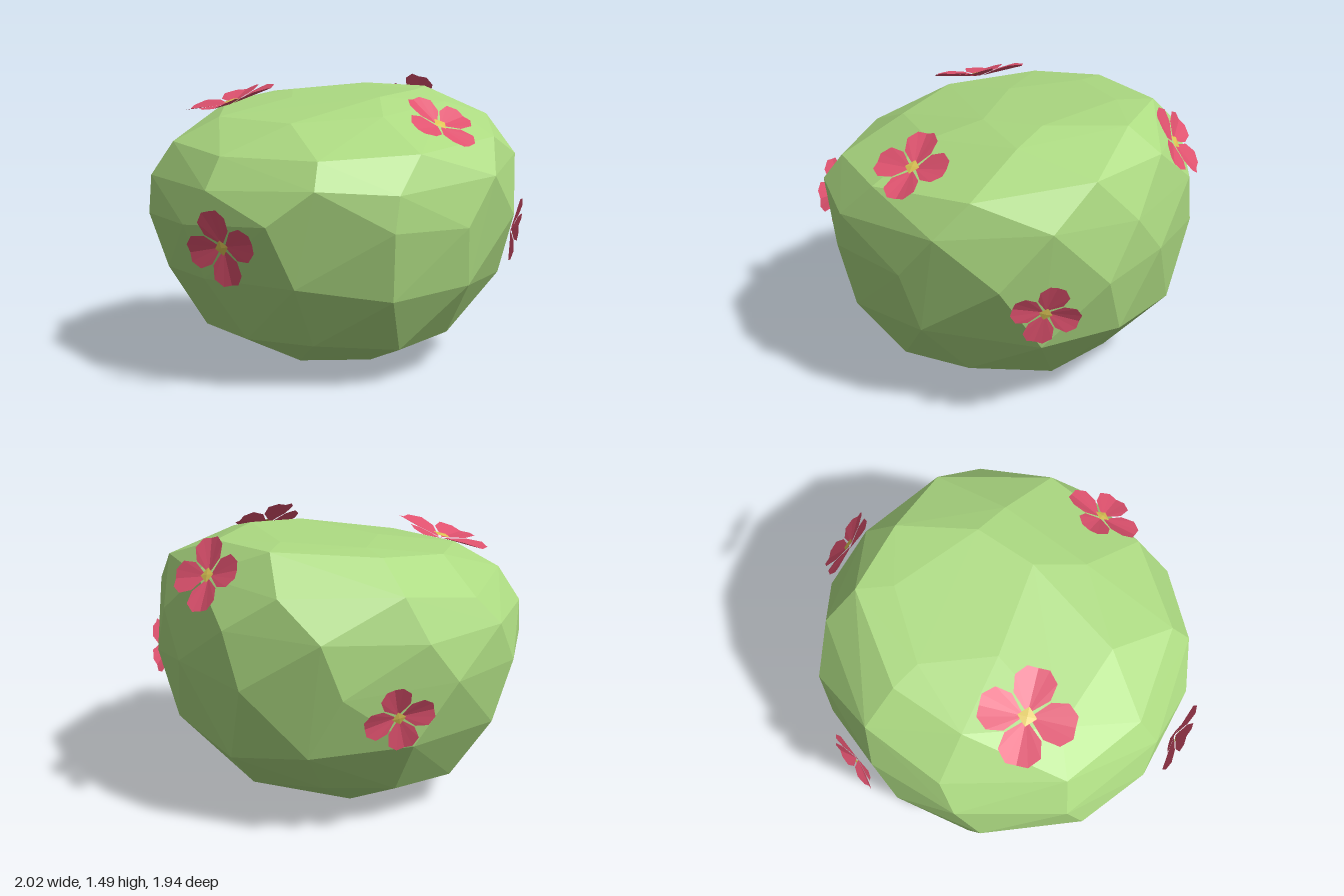
import * as THREE from 'three';
import { ConvexGeometry } from 'three/addons/geometries/ConvexGeometry.js';

const leafGreen = new THREE.MeshStandardMaterial({ color: 0xaddb82 });
const petalPink = new THREE.MeshStandardMaterial({ color: 0xe0526f, side: THREE.DoubleSide });
const pollenYellow = new THREE.MeshStandardMaterial({ color: 0xdcc455, side: THREE.DoubleSide });
leafGreen.name = 'leafGreen';
petalPink.name = 'petalPink';
pollenYellow.name = 'pollenYellow';

function seeded(seed) {
  return () => {
    seed = (seed * 16807) % 2147483647;
    return seed / 2147483647;
  };
}

// Faceted bush: hull over staggered, slightly uneven rounded-square rings
function createBush() {
  const random = seeded(11);
  // y, centre x, centre z, radius x, radius z, tilt along x, tilt along z, sides
  const rings = [
    [0.02, 0.0, 0.0, 0.27, 0.3, -0.05, 0.03, 5],
    [0.2, -0.02, 0.03, 0.62, 0.67, -0.05, 0, 10],
    [0.48, 0.02, 0.02, 0.87, 0.87, -0.05, 0, 11],
    [0.82, 0.015, 0.02, 0.95, 0.94, 0, 0, 12],
    [1.05, 0.03, 0.02, 0.93, 0.94, 0.04, 0, 11],
    [1.22, 0.05, 0.015, 0.84, 0.86, 0.07, 0, 10],
    [1.365, 0.09, -0.05, 0.65, 0.58, 0.1, -0.04, 8],
    [1.41, 0.22, -0.07, 0.32, 0.4, 0.08, 0, 5],
  ];
  const points = [];
  rings.forEach(([y, cx, cz, rx, rz, tiltX, tiltZ, sides], ring) => {
    for (let i = 0; i < sides; i++) {
      const a = ((i + 0.5 * (ring % 2) + 0.3 * (random() - 0.5)) / sides) * Math.PI * 2 + 0.2;
      const r = 1.005 + 0.03 * Math.sin(2 * a) ** 2 + 0.02 * (random() - 0.5);
      const x = cx + rx * r * Math.cos(a);
      const z = cz + rz * r * Math.sin(a);
      const lift = ring === 0 || ring > 5 ? 0 : 0.07 * (random() - 0.5);
      points.push(new THREE.Vector3(x, Math.max(0, y + tiltX * x + tiltZ * z + lift), z));
    }
  });
  const bush = new THREE.Mesh(new ConvexGeometry(points), leafGreen);
  bush.name = 'bush';
  return bush;
}

// Fan of flat triangles around the first point of an outline
function fan(outline, closed) {
  const points = [];
  const last = outline.length - 1;
  for (let i = 1; i < last; i++) points.push(outline[0], outline[i], outline[i + 1]);
  if (closed) points.push(outline[0], outline[last], outline[1]);
  const geometry = new THREE.BufferGeometry().setFromPoints(points.map((p) => new THREE.Vector3(...p)));
  geometry.computeVertexNormals();
  return geometry;
}

// Broad petal along +x, folded on its middle line
const petalGeometry = fan([
  [0.06, 0, 0], [0.42, -0.39, 0.11], [0.78, -0.45, 0.17], [1.02, -0.24, 0.15], [1.02, 0, 0.11],
  [1.02, 0.24, 0.15], [0.78, 0.45, 0.17], [0.42, 0.39, 0.11],
], false);

// Four-pointed centre filling the gaps between petals
const centre = [[0, 0, 0.09]];
for (let i = 0; i < 8; i++) {
  const a = (i * Math.PI) / 4;
  const r = i % 2 ? 0.15 : 0.21;
  centre.push([r * Math.cos(a), r * Math.sin(a), 0.07]);
}
const centreGeometry = fan(centre, true);

function createFlower(position, normal, size, rollDegrees) {
  const flower = new THREE.Group();
  flower.name = 'flower';
  for (let i = 0; i < 4; i++) {
    const petal = new THREE.Mesh(petalGeometry, petalPink);
    petal.name = 'petal';
    petal.rotation.z = (i * Math.PI) / 2;
    flower.add(petal);
  }
  const middle = new THREE.Mesh(centreGeometry, pollenYellow);
  middle.name = 'flowerCentre';
  flower.add(middle);

  const facing = new THREE.Vector3(...normal).normalize();
  flower.quaternion.setFromUnitVectors(new THREE.Vector3(0, 0, 1), facing);
  flower.rotateZ(THREE.MathUtils.degToRad(rollDegrees));
  flower.position.set(...position);
  flower.scale.setScalar(size);
  return flower;
}

export function createModel() {
  const model = new THREE.Group();
  model.name = 'floweringBush';
  model.add(
    createBush(),
    createFlower([0.04, 1.3, 0.78], [0, 0.83, 0.56], 0.19, 10),
    createFlower([-0.4, 1.375, -0.3], [-0.26, 0.95, -0.14], 0.235, 46),
    createFlower([0.885, 1.32, -0.2], [0.8, 0.53, -0.27], 0.185, 60),
    createFlower([0.735, 0.7, 0.665], [0.68, -0.2, 0.7], 0.165, 68),
    createFlower([-0.925, 0.75, 0.3], [-0.93, -0.2, 0.28], 0.185, 20),
    createFlower([0.25, 0.7, -0.9], [0.25, -0.25, -0.94], 0.17, 15),
  );
  return model;
}
